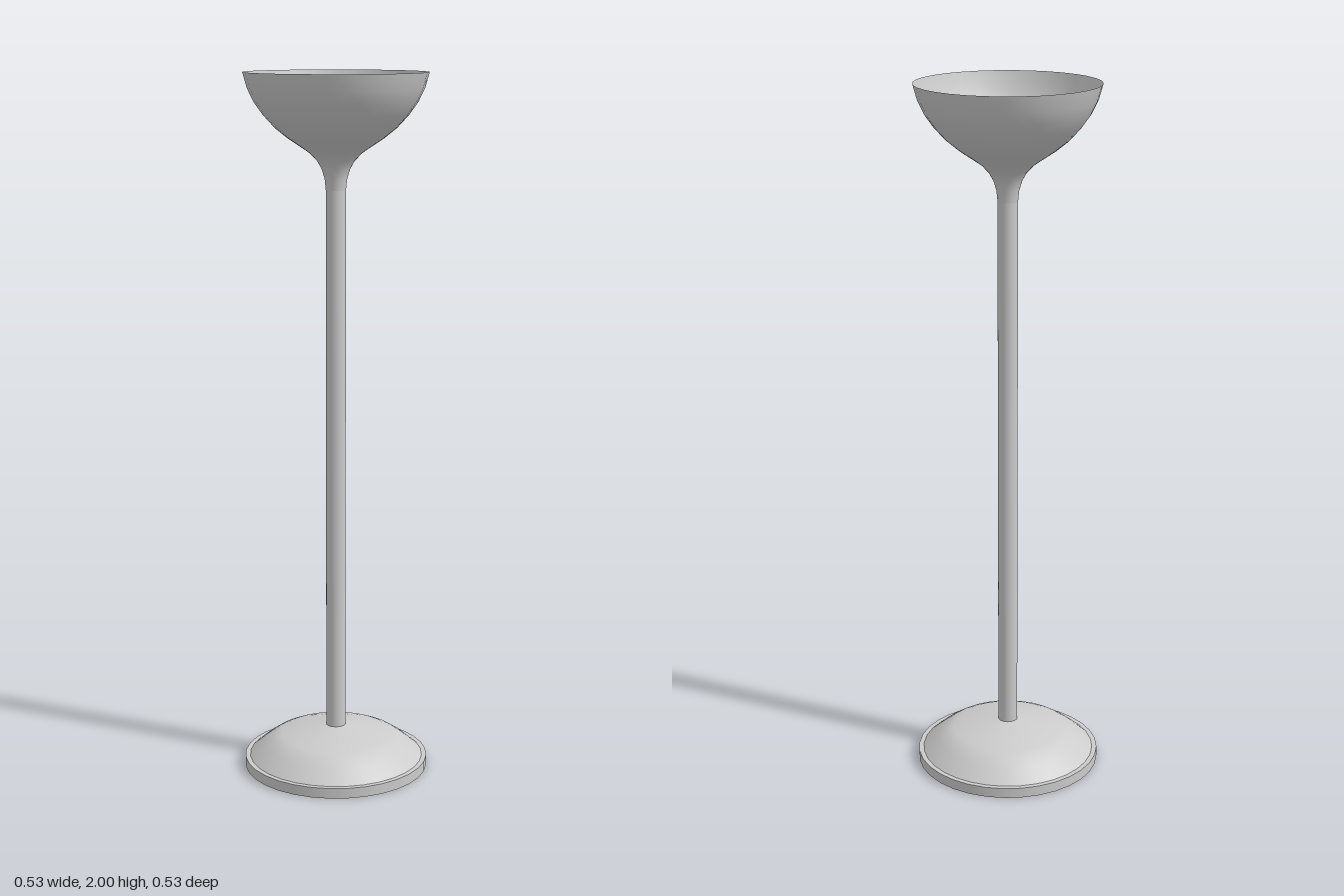
import * as THREE from 'three';

const SIDES = 32;

export function createModel() {
  const lamp = new THREE.Group();
  lamp.name = 'floorLamp';
  const grey = new THREE.MeshStandardMaterial({ color: 0xcccccc });
  const greyThin = new THREE.MeshStandardMaterial({ color: 0xcccccc, side: THREE.DoubleSide });

  const add = (name, geometry, y = 0, material = grey) => {
    const mesh = new THREE.Mesh(geometry, material);
    mesh.name = name;
    mesh.position.y = y;
    lamp.add(mesh);
  };
  const lathe = (points) =>
    new THREE.LatheGeometry(points.map(([r, y]) => new THREE.Vector2(r, y)), SIDES);

  // Foot: flat disc with a shallow dome on top
  add('baseDisc', new THREE.CylinderGeometry(0.266, 0.266, 0.03, SIDES), 0.015);
  add('baseDome', lathe([
    [0.252, 0.03], [0.236, 0.044], [0.21, 0.066], [0.185, 0.083],
    [0.16, 0.094], [0.11, 0.104], [0.03, 0.12], [0, 0.12],
  ]));

  // Pole
  add('pole', new THREE.CylinderGeometry(0.028, 0.028, 1.62, SIDES), 0.9);

  // Upward-facing shade that flares out of the pole
  add('shade', lathe([
    [0.028, 1.68], [0.031, 1.71], [0.039, 1.737], [0.052, 1.76], [0.072, 1.781],
    [0.1, 1.8], [0.133, 1.822], [0.168, 1.85], [0.2, 1.885],
    [0.225, 1.92], [0.243, 1.957], [0.255, 2],
  ]), 0, greyThin);

  // Plate closing the bottom of the bowl, and the bulb on it
  add('shadeFloor', new THREE.CircleGeometry(0.133, SIDES).rotateX(-Math.PI / 2), 1.822, greyThin);
  add('bulb', new THREE.SphereGeometry(0.063, 32, 20), 1.833);

  return lamp;
}
